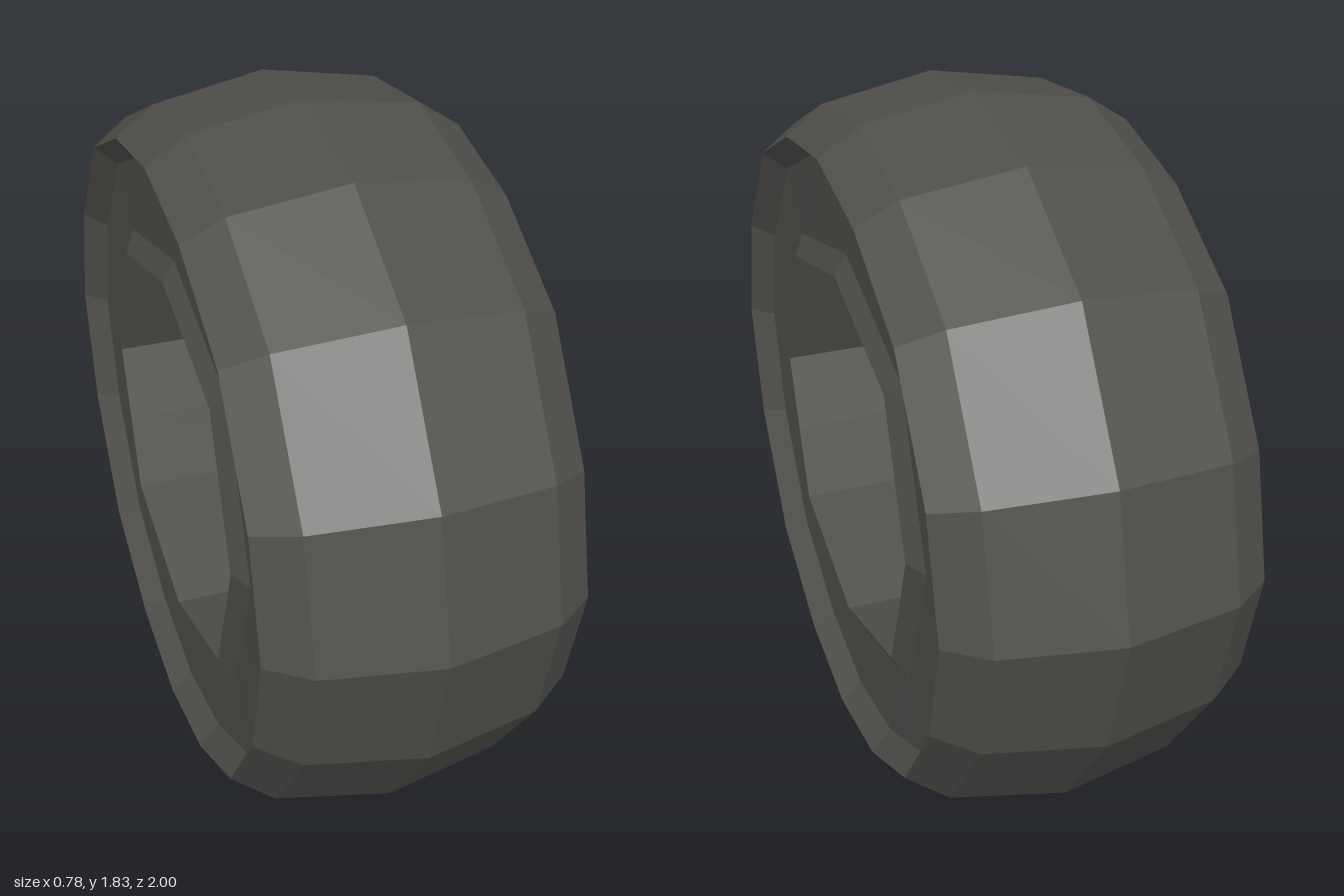
import * as THREE from 'three';

const CENTER_Y = 0.915;

// Expand one quadrant of [z, y] points (top to front) into a full closed ring
function fullRing(quadrant) {
  const half = [...quadrant, ...quadrant.slice(0, -1).reverse().map(([z, y]) => [z, -y])];
  return [...half, ...half.slice(1, -1).reverse().map(([z, y]) => [-z, y])];
}

// 16-sided outer outline and 8-sided hole outline (with edge midpoints so both have 16 points)
const OUTER = fullRing([[0, 0.915], [0.34, 0.855], [0.675, 0.68], [0.91, 0.345], [1, 0]]);
const HOLE = fullRing([[0, 0.49], [0.1975, 0.431], [0.395, 0.372], [0.465, 0.186], [0.535, 0]]);

// A section is an outline, scaled and placed at x
const section = (outline, scale, x) => outline.map(([z, y]) => [x, CENTER_Y + y * scale, z * scale]);

// Skin a row of sections with flat quads
function loft(name, sections, material) {
  const pos = [];
  for (let s = 0; s < sections.length - 1; s++) {
    const p = sections[s], q = sections[s + 1];
    for (let i = 0; i < p.length; i++) {
      const k = (i + 1) % p.length;
      pos.push(...p[i], ...p[k], ...q[k], ...p[i], ...q[k], ...q[i]);
    }
  }
  const geometry = new THREE.BufferGeometry();
  geometry.setAttribute('position', new THREE.Float32BufferAttribute(pos, 3));
  geometry.computeVertexNormals();
  const mesh = new THREE.Mesh(geometry, material);
  mesh.name = name;
  return mesh;
}

export function createModel() {
  const group = new THREE.Group();
  group.name = 'tyre';
  const rubber = new THREE.MeshStandardMaterial({ color: 0x504e4a, flatShading: true });

  // Crowned tread with bevelled shoulders
  const tread = [[0.87, -0.39], [0.945, -0.29], [1, 0], [0.945, 0.29], [0.87, 0.39]];
  group.add(loft('tread', tread.map(([s, x]) => section(OUTER, s, x)), rubber));

  // Recessed side walls with a raised lip around the hole
  const wall = (side) => [
    section(OUTER, 0.87, 0.39 * side),
    section(OUTER, 0.815, 0.335 * side),
    section(HOLE, 1.115, 0.33 * side),
    section(HOLE, 1, 0.36 * side),
  ];
  group.add(loft('leftSideWall', wall(1), rubber));
  group.add(loft('rightSideWall', wall(-1).reverse(), rubber));

  // Straight bore through the middle
  group.add(loft('bore', [section(HOLE, 1, 0.36), section(HOLE, 1, -0.36)], rubber));

  return group;
}
